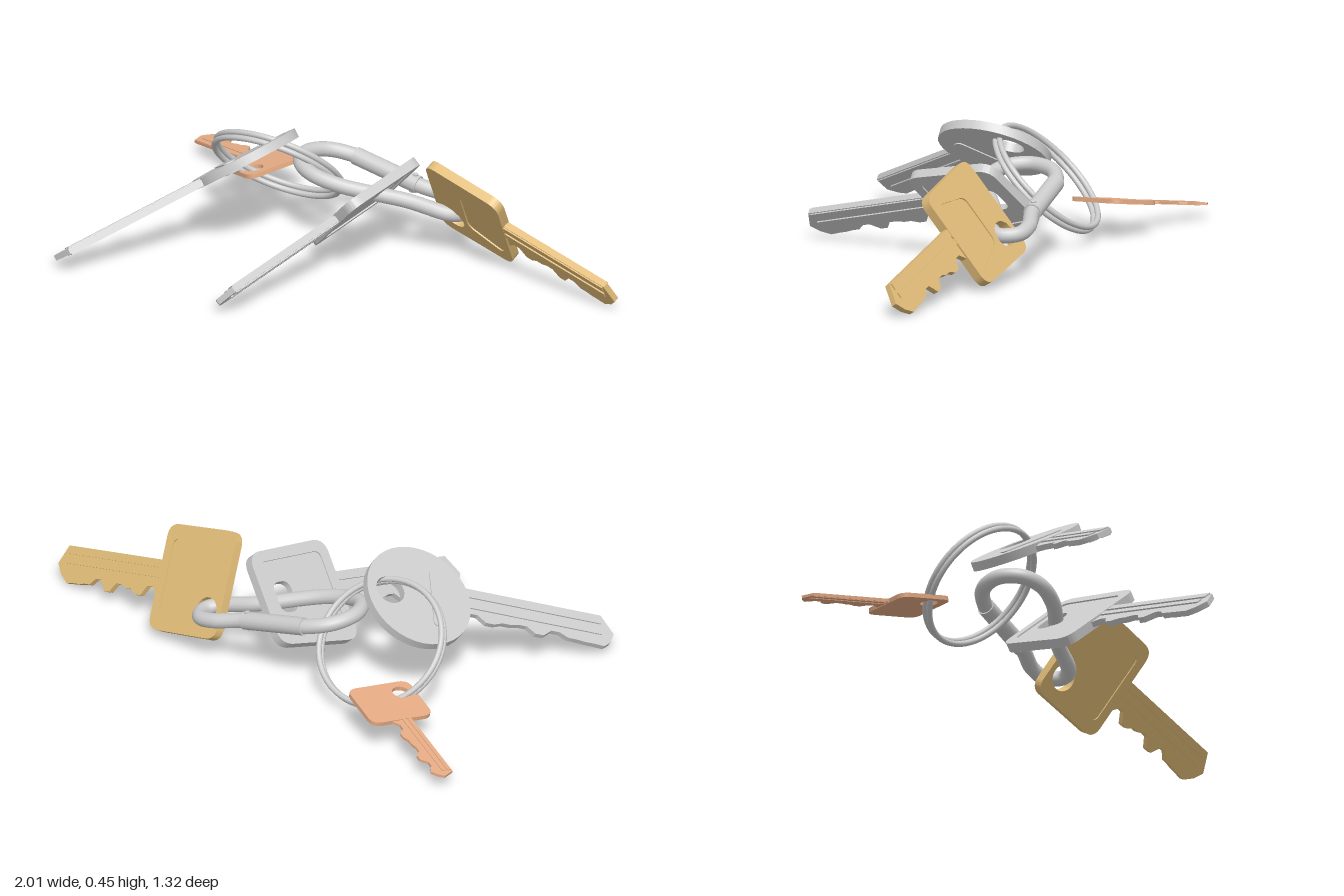
import * as THREE from 'three';
import { toCreasedNormals } from 'three/addons/utils/BufferGeometryUtils.js';

const steel = new THREE.MeshStandardMaterial({ color: 0xcccccc });
const brass = new THREE.MeshStandardMaterial({ color: 0xe0bb78 });
const copper = new THREE.MeshStandardMaterial({ color: 0xe5ab84 });

// Rounded trapezoid from x0 to x1, with half widths h0 and h1 at its ends
function trapezoid(x0, x1, h0, h1, r, Type = THREE.Shape) {
  const corners = [[x0, -h0], [x1, -h1], [x1, h1], [x0, h0]].map((p) => new THREE.Vector2(...p));
  const path = new Type();
  corners.forEach((c, i) => {
    const a = corners[(i + 3) % 4].clone().sub(c).setLength(r).add(c);
    const b = corners[(i + 1) % 4].clone().sub(c).setLength(r).add(c);
    if (i === 0) path.moveTo(a.x, a.y); else path.lineTo(a.x, a.y);
    path.quadraticCurveTo(c.x, c.y, b.x, b.y);
  });
  path.closePath();
  return path;
}

function circle(x, y, r, Type = THREE.Path) {
  const path = new Type();
  path.absarc(x, y, r, 0, Math.PI * 2, false);
  return path;
}

// Flat plate centred on its own thickness
function addPlate(group, name, shape, thickness, material) {
  const geo = new THREE.ExtrudeGeometry(shape, { depth: thickness, bevelEnabled: false, curveSegments: 20 });
  geo.translate(0, 0, -thickness / 2);
  const mesh = new THREE.Mesh(toCreasedNormals(geo, 0.6), material);
  mesh.name = name;
  group.add(mesh);
}

// Blade: straight back edge, notched cutting edge, pointed tip
function bladeShape({ start, end, back, cut, side, notches }) {
  const s = new THREE.Shape();
  const tip = cut * 0.7;
  const step = (end - tip - start) / (notches + 1);
  s.moveTo(start, -side * back);
  s.lineTo(end - back * 0.6, -side * back);
  s.lineTo(end, side * (cut - back) * 0.4);
  s.lineTo(end - tip * 0.4, side * cut * 0.55);
  s.lineTo(end - tip, side * cut * 0.9);
  for (let i = notches; i > 0; i--) {
    const x = start + step * i;
    const y = side * cut * (0.75 - 0.25 * Math.cos((i - 1) * 2.4));
    s.lineTo(x + step * 0.3, y);
    s.lineTo(x - step * 0.2, y);
  }
  s.lineTo(start, side * cut);
  s.closePath();
  return s;
}

// Key: local x runs from bow to tip, local z is the face normal.
// Its plane is y = slope[0] * x + slope[1] * z through the centre.
function makeKey({ name, material, thickness: t, center, heading, slope, bow, hole, panel, pad, holeInPanel, blade }) {
  const g = new THREE.Group();
  g.name = name;

  // Bow with its hole, and a raised rim around a recessed panel
  const core = bow();
  core.holes.push(hole);
  addPlate(g, 'bow', core, panel ? t * 0.7 : t, material);
  if (panel) {
    const rim = bow();
    rim.holes.push(panel);
    if (!holeInPanel) rim.holes.push(hole);
    addPlate(g, 'bowRim', rim, t, material);
  }
  if (pad) addPlate(g, 'bowPad', pad, t + 0.008, material);

  // Notched blade with two lengthwise ribs showing on both faces
  addPlate(g, 'blade', bladeShape(blade), t * 0.6, material);
  const length = (blade.end - blade.start) * 0.92;
  for (const [middle, width] of [[-0.72, 0.45], [-0.08, 0.35]]) {
    const rib = new THREE.Mesh(new THREE.BoxGeometry(length, blade.back * width, t * 0.9), material);
    rib.position.set(blade.start + length / 2, blade.side * blade.back * middle, 0);
    rib.name = 'bladeRib';
    g.add(rib);
  }

  // Orientation from heading and plane slopes
  const [a, c] = slope;
  const [hx, hz] = heading;
  const n = new THREE.Vector3(-a, 1, -c).normalize();
  const u = new THREE.Vector3(hx, a * hx + c * hz, hz).normalize();
  const v = new THREE.Vector3().crossVectors(n, u);
  g.quaternion.setFromRotationMatrix(new THREE.Matrix4().makeBasis(u, v, n));
  g.position.set(...center);
  return g;
}

const makeRoundKey = () => makeKey({
  name: 'roundKey', material: steel, thickness: 0.034,
  center: [-0.478, 0.3, 0.011], heading: [-0.707, 0.707], slope: [0.68, 0.14],
  bow: () => circle(0, 0, 0.207, THREE.Shape),
  hole: circle(-0.115, 0, 0.056),
  pad: trapezoid(0.05, 0.1, 0.12, 0.12, 0.02),
  blade: { start: 0.15, end: 0.785, back: 0.078, cut: 0.06, side: -1, notches: 8 },
});

const makeSquareKey = () => makeKey({
  name: 'squareKey', material: steel, thickness: 0.036,
  center: [-0.02, 0.205, -0.037], heading: [-0.37, 0.93], slope: [1, 0.14],
  bow: () => trapezoid(-0.18, 0.19, 0.18, 0.2, 0.06),
  hole: trapezoid(-0.115, -0.035, 0.06, 0.06, 0.035, THREE.Path),
  panel: trapezoid(-0.145, 0.15, 0.14, 0.155, 0.03, THREE.Path),
  holeInPanel: true,
  blade: { start: 0.17, end: 0.76, back: 0.07, cut: 0.075, side: -1, notches: 8 },
});

const makeBrassKey = () => makeKey({
  name: 'brassKey', material: brass, thickness: 0.036,
  center: [0.366, 0.196, -0.116], heading: [0.976, 0.222], slope: [-0.6, 1.5],
  bow: () => trapezoid(-0.172, 0.165, 0.2, 0.195, 0.05),
  hole: circle(-0.1, 0.1, 0.05),
  panel: trapezoid(-0.03, 0.13, 0.1, 0.145, 0.03, THREE.Path),
  blade: { start: 0.15, end: 0.67, back: 0.06, cut: 0.085, side: 1, notches: 8 },
});

const makeCopperKey = () => makeKey({
  name: 'copperKey', material: copper, thickness: 0.016,
  center: [-0.6, 0.1, -0.405], heading: [-0.83, -0.555], slope: [0.2, 0],
  bow: () => trapezoid(-0.112, 0.1, 0.125, 0.125, 0.04),
  hole: circle(-0.05, 0.068, 0.033),
  blade: { start: 0.09, end: 0.447, back: 0.035, cut: 0.052, side: -1, notches: 6 },
});

// Two-coil split ring
function makeSplitRing() {
  const g = new THREE.Group();
  g.name = 'splitRing';
  for (const offset of [-0.011, 0.011]) {
    const coil = new THREE.Mesh(new THREE.TorusGeometry(0.24, 0.011, 10, 64), steel);
    coil.position.z = offset;
    coil.name = 'ringCoil';
    g.add(coil);
  }
  g.quaternion.setFromUnitVectors(new THREE.Vector3(0, 0, 1), new THREE.Vector3(0.05, 0.7, -0.7).normalize());
  g.position.set(-0.443, 0.205, -0.19);
  return g;
}

// Sloping clip loop with a gate sleeve and pivot pin
function makeClip() {
  const g = new THREE.Group();
  g.name = 'clip';
  const at = (x, z) => new THREE.Vector3(x, 0.208 - 0.225 * x, z);
  const loop = [
    at(0.285, -0.2), at(0.265, -0.26), at(0.2, -0.28), at(0.08, -0.265), at(-0.18, -0.288), at(-0.28, -0.25),
    at(-0.325, -0.17), at(-0.305, -0.09), at(-0.24, -0.045), at(-0.13, -0.045), at(0.1, -0.13), at(0.255, -0.16),
  ];
  const body = new THREE.Mesh(
    new THREE.TubeGeometry(new THREE.CatmullRomCurve3(loop, true), 140, 0.028, 14, true), steel);
  body.name = 'clipLoop';

  const [from, to] = [loop[4], loop[3]];
  const along = to.clone().sub(from);
  const gate = new THREE.Mesh(new THREE.CylinderGeometry(0.033, 0.033, along.length(), 16), steel);
  gate.position.copy(from).lerp(to, 0.5);
  gate.quaternion.setFromUnitVectors(new THREE.Vector3(0, 1, 0), along.normalize());
  gate.name = 'clipGate';

  const pin = new THREE.Mesh(new THREE.CylinderGeometry(0.01, 0.01, 0.075, 12), steel);
  pin.position.copy(at(0.06, -0.267));
  pin.rotation.z = -0.22;
  pin.name = 'gatePin';
  g.add(body, gate, pin);
  return g;
}

export function createModel() {
  const model = new THREE.Group();
  model.name = 'keyBunch';
  model.add(makeRoundKey(), makeSquareKey(), makeBrassKey(), makeCopperKey(), makeSplitRing(), makeClip());
  return model;
}
